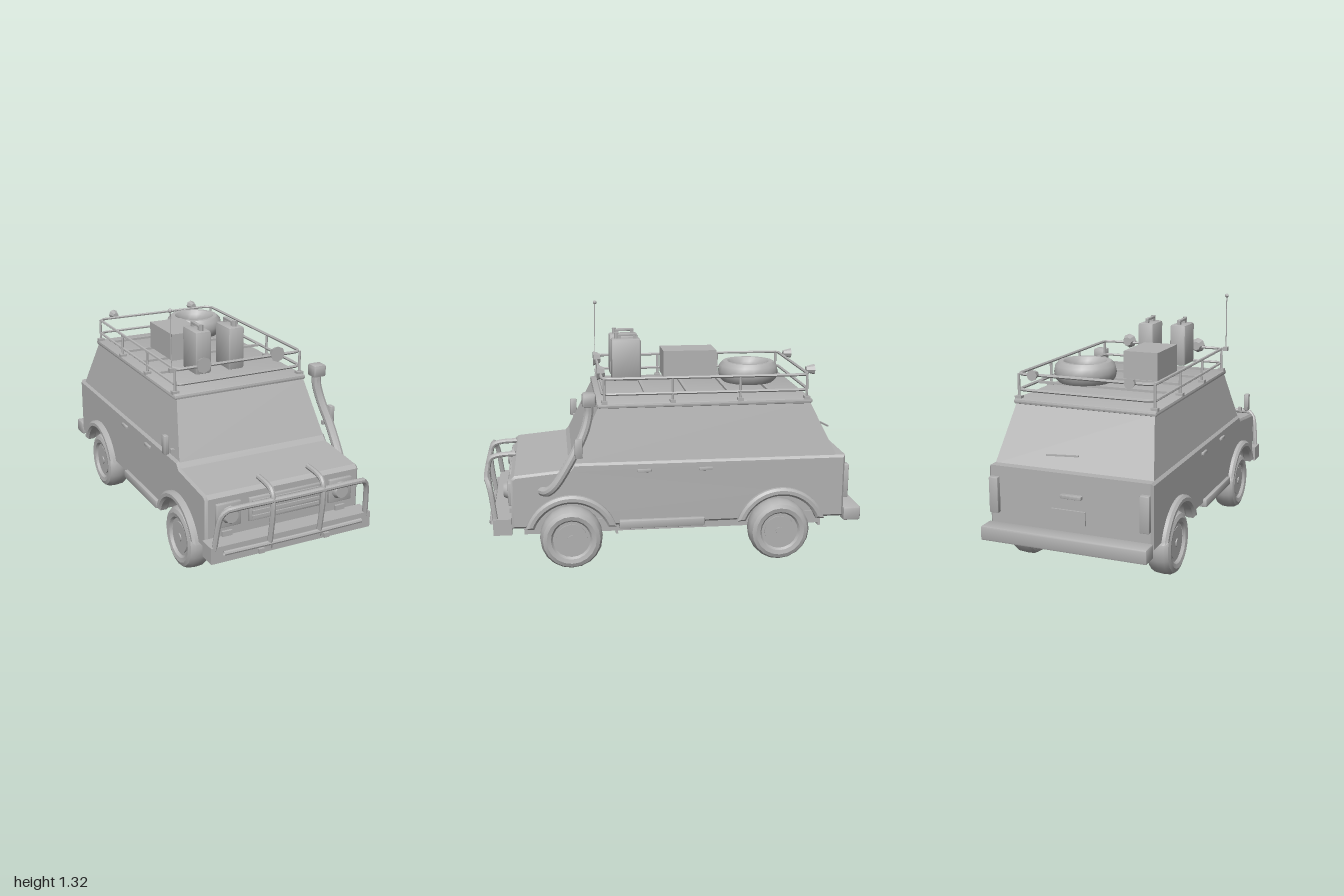
import * as THREE from 'three';
import { toCreasedNormals } from 'three/addons/utils/BufferGeometryUtils.js';
import { RoundedBoxGeometry } from 'three/addons/geometries/RoundedBoxGeometry.js';

export function createModel() {
  const root = new THREE.Group();
  root.name = 'expeditionWagon';
  const grey = new THREE.MeshStandardMaterial({ color: 0xb2b2b2, side: THREE.DoubleSide });
  grey.name = 'plainGrey';

  const add = (name, geometry, x = 0, y = 0, z = 0) => {
    const mesh = new THREE.Mesh(toCreasedNormals(geometry, 0.6), grey);
    mesh.name = name;
    mesh.position.set(x, y, z);
    root.add(mesh);
    return mesh;
  };
  // Box given by its extents
  const box = (name, x0, x1, y0, y1, z0, z1, round = 0) => {
    const s = [x1 - x0, y1 - y0, z1 - z0];
    const g = round ? new RoundedBoxGeometry(...s, 1, round) : new THREE.BoxGeometry(...s);
    return add(name, g, (x0 + x1) / 2, (y0 + y1) / 2, (z0 + z1) / 2);
  };
  const tube = (name, points, r, { closed = false, tension = 0.5, steps = 28, sides = 8 } = {}) => {
    const path = new THREE.CatmullRomCurve3(
      points.map(p => new THREE.Vector3(...p)), closed, 'catmullrom', tension);
    return add(name, new THREE.TubeGeometry(path, steps, r, sides, closed));
  };
  // Side outline (z, y) pulled across x, centred on cx
  const across = (name, shape, width, cx, bevel) => {
    const g = new THREE.ExtrudeGeometry(shape, {
      depth: width - 2 * bevel, bevelEnabled: bevel > 0, bevelSize: bevel, bevelThickness: bevel,
      bevelOffset: -bevel, bevelSegments: 1, curveSegments: 14 });
    g.translate(0, 0, -(width - 2 * bevel) / 2);
    g.rotateY(-Math.PI / 2);
    return add(name, g, cx);
  };

  const axles = [0.55, -0.56], axleY = 0.165, sill = 0.235;

  // Lower body with wheel arches cut out
  const body = new THREE.Shape();
  const archR = 0.215, a = Math.asin((sill - axleY) / archR), w = archR * Math.cos(a);
  body.moveTo(-0.905, sill);
  for (const z of [...axles].reverse()) {
    body.lineTo(z - w, sill);
    body.absarc(z, axleY, archR, Math.PI - a, a, true);
  }
  for (const p of [[0.855, sill], [0.855, 0.5], [0.835, 0.518], [0.555, 0.545], [0.53, 0.575], [-0.905, 0.575]])
    body.lineTo(...p);
  body.closePath();
  across('lowerBody', body, 0.87, 0, 0.012);
  box('innerBody', -0.32, 0.32, 0.2, 0.5, -0.89, 0.84);
  box('chassis', -0.325, 0.325, 0.165, 0.235, -0.81, 0.797);
  for (const z of [0.305, -0.805]) box('crossMember', -0.325, 0.325, 0.147, 0.2, z - 0.006, z + 0.006);

  // Tapered cabin
  const cabin = new THREE.BoxGeometry(1, 1, 1);
  const cp = cabin.attributes.position;
  for (let i = 0; i < cp.count; i++) {
    const top = cp.getY(i) > 0, front = cp.getZ(i) > 0;
    cp.setXYZ(i, Math.sign(cp.getX(i)) * (top ? 0.37 : 0.422), top ? 0.86 : 0.57,
      front ? (top ? 0.395 : 0.535) : (top ? -0.715 : -0.86));
  }
  cabin.computeVertexNormals();
  add('cabin', cabin);
  box('roof', -0.385, 0.385, 0.848, 0.875, -0.73, 0.405, 0.012);

  // Wheels
  const tyreProfile = [[0.098, -0.045], [0.108, -0.058], [0.13, -0.063], [0.15, -0.055], [0.162, -0.035],
    [0.165, 0], [0.162, 0.035], [0.15, 0.055], [0.13, 0.063], [0.108, 0.058], [0.098, 0.045]];
  for (const s of [-1, 1]) for (const z of axles) {
    const lathe = new THREE.LatheGeometry(tyreProfile.map(p => new THREE.Vector2(...p)), 20);
    add('tyre', lathe.rotateZ(Math.PI / 2), s * 0.384, axleY, z);
    const disc = (name, r, d) =>
      add(name, new THREE.CylinderGeometry(r, r, d, 20).rotateZ(Math.PI / 2), s * 0.384, axleY, z);
    disc('rim', 0.1, 0.084);
    disc('hubPlate', 0.082, 0.096);
    disc('hubCap', 0.022, 0.108);

    // Wheel arch flare
    const flare = new THREE.Shape();
    const ro = 0.245, ri = 0.203, ao = Math.asin(0.07 / ro), ai = Math.asin(0.07 / ri);
    flare.absarc(z, axleY, ro, ao, Math.PI - ao, false);
    flare.absarc(z, axleY, ri, Math.PI - ai, ai, true);
    flare.closePath();
    across('archFlare', flare, 0.06, s * 0.435, 0.012);
  }

  // Fittings on both sides
  for (const s of [-1, 1]) {
    const side = (name, x0, x1, ...rest) => box(name, Math.min(s * x0, s * x1), Math.max(s * x0, s * x1), ...rest);
    side('sideStep', 0.41, 0.455, 0.22, 0.265, -0.15, 0.3, 0.006);
    for (const z of [0.168, -0.155]) side('doorHandle', 0.43, 0.447, 0.52, 0.537, z - 0.037, z + 0.037, 0.005);
    side('mirror', 0.47, 0.498, 0.617, 0.718, 0.485, 0.525, 0.008);
    side('mirrorArm', 0.435, 0.455, 0.615, 0.635, 0.49, 0.51);
    side('tailLamp', 0.375, 0.425, 0.335, 0.52, -0.93, -0.9, 0.006);
    side('headlampHousing', 0.25, 0.385, 0.345, 0.472, 0.85, 0.872, 0.006);
    add('headlamp', new THREE.CylinderGeometry(0.036, 0.052, 0.035, 10).rotateX(Math.PI / 2), s * 0.313, 0.41, 0.878);
    side('indicator', 0.295, 0.35, 0.29, 0.322, 0.85, 0.868);
    side('towTab', 0.17, 0.2, 0.215, 0.24, 0.93, 0.965);

    // Upright of the bull bar, curving back over the bonnet
    tube('bullBarUpright', [[s * 0.14, 0.235, 0.957], [s * 0.14, 0.43, 0.983], [s * 0.14, 0.525, 0.975],
      [s * 0.14, 0.553, 0.93], [s * 0.14, 0.56, 0.835]], 0.014);
  }

  // Front end
  box('frontBumper', -0.452, 0.452, 0.21, 0.295, 0.855, 0.95);
  box('grille', -0.205, 0.205, 0.345, 0.47, 0.85, 0.868, 0.005);
  for (let i = 0; i < 4; i++) box('grilleSlat', -0.19, 0.19, 0.36 + i * 0.027, 0.375 + i * 0.027, 0.865, 0.876);
  tube('bullBarHoop', [[-0.43, 0.265, 0.935], [-0.415, 0.42, 0.955], [-0.395, 0.475, 0.968], [-0.34, 0.495, 0.98],
    [0, 0.495, 0.985], [0.34, 0.495, 0.98], [0.395, 0.475, 0.968], [0.415, 0.42, 0.955], [0.43, 0.265, 0.935]],
  0.014, { steps: 56 });
  tube('bullBarLower', [[-0.39, 0.262, 0.96], [0, 0.262, 0.965], [0.39, 0.262, 0.96]], 0.012);

  // Rear end
  box('rearBumper', -0.44, 0.44, 0.21, 0.285, -1, -0.905, 0.01);
  box('rearPlate', -0.09, 0.09, 0.325, 0.395, -0.915, -0.9);
  box('tailgateHandle', -0.1, 0.06, 0.455, 0.475, -0.93, -0.9, 0.006).scale.x = 0.7;
  box('rearWiper', -0.08, 0.08, 0.652, 0.66, -0.885, -0.877).rotation.y = 0.2;
  root.children.at(-1).position.x = 0.04;

  // Snorkel
  tube('snorkelPipe', [[0.42, 0.435, 0.7], [0.455, 0.44, 0.665], [0.47, 0.49, 0.615], [0.463, 0.62, 0.535],
    [0.44, 0.74, 0.475], [0.424, 0.83, 0.45], [0.424, 0.89, 0.447]], 0.025, { steps: 36, sides: 10 });
  box('snorkelHead', 0.386, 0.463, 0.875, 0.942, 0.412, 0.482, 0.012);

  // Roof rack
  const rx = 0.365, zf = 0.375, zb = -0.71, c = 0.035;
  for (const y of [0.92, 1]) {
    tube('rackRail', [[-rx + c, y, zf], [rx - c, y, zf], [rx - 0.01, y, zf - 0.01], [rx, y, zf - c], [rx, y, zb + c],
      [rx - 0.01, y, zb + 0.01], [rx - c, y, zb], [-rx + c, y, zb], [-rx + 0.01, y, zb + 0.01],
      [-rx, y, zb + c], [-rx, y, zf - c], [-rx + 0.01, y, zf - 0.01]],
    0.008, { closed: true, tension: 0, steps: 200, sides: 6 });
  }
  for (const s of [-1, 1]) for (const z of [0.365, 0.01, -0.345, -0.7]) {
    add('rackPost', new THREE.CylinderGeometry(0.007, 0.007, 0.13, 6), s * rx, 0.935, z);
    box('rackFoot', s * rx - 0.018, s * rx + 0.018, 0.87, 0.887, z - 0.015, z + 0.015);
  }
  for (const z of [0.15, -0.07, -0.285, -0.5]) box('rackSlat', -rx, rx, 0.913, 0.925, z - 0.008, z + 0.008);

  // Rack lamps
  const lamp = (name, r, depth, x, z, dir) =>
    add(name, new THREE.CylinderGeometry(r, r * 0.6, depth, 8).rotateX(dir * Math.PI / 2), x, 1.008, z);
  for (const s of [-1, 1]) {
    lamp('frontRackLamp', 0.042, 0.04, s * 0.214, 0.373, 1);
    lamp('rearRackLamp', 0.028, 0.045, s * 0.258, -0.742, -1);
  }

  // Luggage
  for (const x of [-0.174, 0.017]) {
    box('fuelCan', x - 0.046, x + 0.046, 0.928, 1.155, 0.145, 0.305, 0.012);
    box('canHandle', x - 0.01, x + 0.01, 1.168, 1.182, 0.165, 0.27, 0.004);
    for (const z of [0.175, 0.258]) box('canHandlePost', x - 0.009, x + 0.009, 1.15, 1.175, z - 0.009, z + 0.009);
    add('canCap', new THREE.CylinderGeometry(0.012, 0.012, 0.036, 8), x, 1.168, 0.275);
  }
  box('storageBox', -0.22, -0.03, 0.925, 1.072, -0.285, 0.012);
  const spare = new THREE.TorusGeometry(0.125, 0.038, 10, 20).rotateX(Math.PI / 2).scale(1, 1.5, 1);
  add('spareTyre', spare, 0.122, 0.983, -0.432);

  // Aerial
  box('aerialBase', -0.4, -0.376, 0.99, 1.012, 0.36, 0.384);
  box('aerialBracket', -0.39, -0.36, 0.995, 1.005, 0.366, 0.378);
  tube('aerial', [[-0.388, 1, 0.378], [-0.388, 1.305, 0.37]], 0.003, { steps: 2, sides: 6 });
  add('aerialTip', new THREE.SphereGeometry(0.011, 8, 6), -0.388, 1.305, 0.37);

  return root;
}
